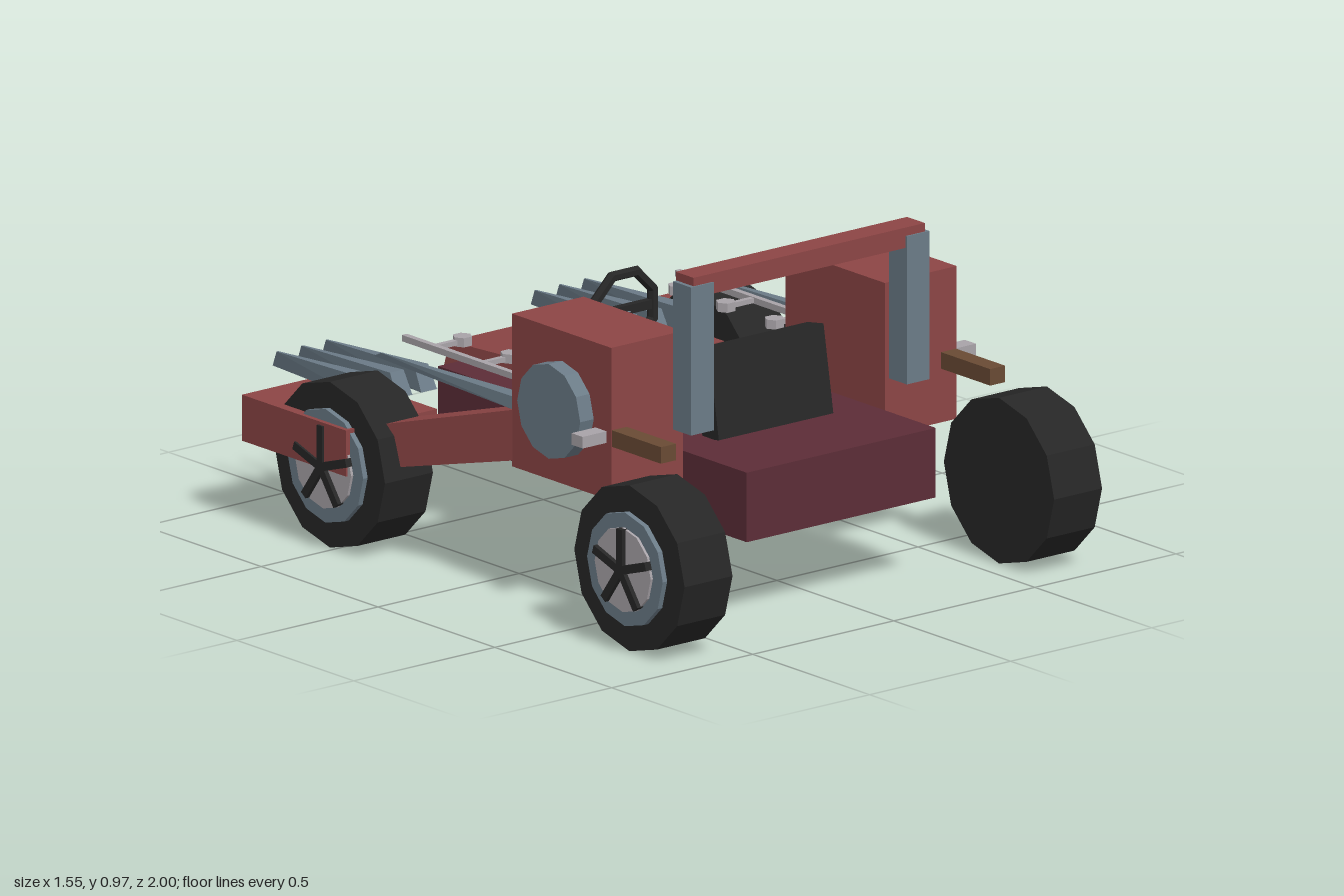
import * as THREE from 'three';
import { ConvexGeometry } from 'three/addons/geometries/ConvexGeometry.js';

const mat = (name, color) => {
  const m = new THREE.MeshStandardMaterial({ color, flatShading: true });
  m.name = name;
  return m;
};

export function createModel() {
  const red = mat('faded red', 0x8c4545);
  const maroon = mat('dark maroon', 0x5c2d37);
  const steel = mat('blue steel', 0x6b7b87);
  const silver = mat('pale metal', 0xa8a3a8);
  const black = mat('rubber black', 0x262626);
  const brown = mat('brown', 0x694a34);

  const model = new THREE.Group();
  model.name = 'buggy';

  const add = (name, geo, m, parent = model) => {
    const mesh = new THREE.Mesh(geo, m);
    mesh.name = name;
    parent.add(mesh);
    return mesh;
  };
  // Box from its low and high limits on each axis
  const box = (name, m, [x0, x1], [y0, y1], [z0, z1], parent = model) => {
    const mesh = add(name, new THREE.BoxGeometry(Math.abs(x1 - x0), y1 - y0, z1 - z0), m, parent);
    mesh.position.set((x0 + x1) / 2, (y0 + y1) / 2, (z0 + z1) / 2);
    return mesh;
  };
  // Convex solid from corner points, mirrored by s
  const solid = (name, m, points, s = 1) =>
    add(name, new ConvexGeometry(points.map(([x, y, z]) => new THREE.Vector3(x * s, y, z))), m);
  // Cylinder lying along x
  const disc = (name, m, r, x0, x1, y, z, sides, parent = model) => {
    const geo = new THREE.CylinderGeometry(r, r, Math.abs(x1 - x0), sides).rotateZ(Math.PI / 2);
    const mesh = add(name, geo, m, parent);
    mesh.position.set((x0 + x1) / 2, y, z);
    return mesh;
  };

  // Body
  box('chassis', maroon, [-0.335, 0.335], [0.24, 0.438], [-0.545, 0.775]);
  const hood = [];
  for (const s of [-1, 1]) {
    hood.push([s * 0.265, 0.3, -0.2], [s * 0.245, 0.5, -0.215],
      [s * 0.2, 0.3, -0.71], [s * 0.175, 0.445, -0.69]);
  }
  solid('hood', red, hood);

  // Seat with a backrest that leans slightly forward
  box('seatCushion', black, [-0.205, 0.205], [0.435, 0.5], [0.03, 0.4]);
  const back = new THREE.Group();
  back.name = 'seatBack';
  back.position.set(0, 0.435, 0.462);
  back.rotation.x = -0.17;
  box('backrest', black, [-0.203, 0.203], [0, 0.25], [-0.035, 0.035], back);
  box('backrestPanel', maroon, [-0.16, 0.16], [0.05, 0.21], [-0.044, -0.035], back);
  model.add(back);

  // Steering
  const ring = add('steeringWheel', new THREE.TorusGeometry(0.11, 0.016, 6, 8).rotateZ(Math.PI / 8), black);
  ring.position.set(0, 0.625, -0.155);
  box('steeringSpoke', black, [-0.11, 0.11], [0.612, 0.638], [-0.165, -0.145]);
  const column = add('steeringColumn', new THREE.BoxGeometry(0.028, 0.17, 0.028), steel);
  column.position.set(0, 0.56, -0.205);
  column.rotation.x = Math.atan2(0.1, 0.13);

  // Roll bar
  box('rollBarTop', red, [-0.41, 0.41], [0.918, 0.976], [0.562, 0.638]);

  for (const s of [-1, 1]) {
    const sx = (a, b) => [s * a, s * b];
    box('rollBarPost', steel, sx(0.342, 0.423), [0.53, 0.952], [0.566, 0.643]);

    // Side pod with round cap, bracket and peg
    box('sidePod', red, sx(0.358, 0.612), [0.355, 0.79], [0.105, 0.53]);
    disc('podCap', steel, 0.135, s * 0.6, s * 0.66, 0.57, 0.32, 12);
    box('bracket', brown, sx(0.557, 0.61), [0.508, 0.555], [0.52, 0.74]);
    box('peg', silver, sx(0.6, 0.697), [0.515, 0.548], [0.462, 0.51]);

    // Rear arm and fender
    solid('rearArm', red, [
      [0.5, 0.375, 0.12], [0.61, 0.375, 0.12], [0.5, 0.52, 0.12], [0.61, 0.52, 0.12],
      [0.58, 0.24, -0.43], [0.7, 0.24, -0.43], [0.58, 0.362, -0.43], [0.7, 0.362, -0.43],
    ], s);
    box('rearFender', red, sx(0.447, 0.77), [0.236, 0.367], [-0.86, -0.415]);

    // Spikes pointing backwards
    for (const x of [0.37, 0.457, 0.545]) {
      solid('spike', steel, [
        [x - 0.028, 0.375, -0.542], [x + 0.028, 0.375, -0.542],
        [x - 0.024, 0.44, -0.575], [x + 0.024, 0.44, -0.575],
        [x - 0.003, 0.42, -0.98], [x + 0.003, 0.42, -0.98], [x, 0.375, -1],
      ], s);
    }
    solid('longBlade', steel, [
      [0.55, 0.515, 0.11], [0.607, 0.515, 0.11], [0.555, 0.55, 0.11], [0.602, 0.55, 0.11],
      [0.57, 0.532, -0.5], [0.575, 0.532, -0.5], [0.572, 0.515, -0.535],
    ], s);

    // Side rail with bolted rungs
    box('rail', silver, sx(0.475, 0.493), [0.547, 0.565], [-0.51, 0.11]);
    for (const z of [-0.385, -0.18, 0.028]) {
      box('rung', silver, sx(0.38, 0.48), [0.549, 0.563], [z - 0.008, z + 0.008]);
      const knob = add('rungKnob', new THREE.CylinderGeometry(0.028, 0.028, 0.026, 6).rotateY(Math.PI / 6), silver);
      knob.position.set(s * 0.382, 0.558, z);
      knob.rotation.y = Math.PI / 3;
    }

    // Wheels with stepped hubs and five spokes
    for (const z of [0.762, -0.52]) {
      const wheel = new THREE.Group();
      wheel.name = z > 0 ? 'frontWheel' : 'rearWheel';
      wheel.position.set(0, 0.24, z);
      disc('tyre', black, 0.236, s * 0.57, s * 0.74, 0, 0, 12, wheel);
      disc('rim', steel, 0.162, s * 0.7, s * 0.756, 0, 0, 12, wheel);
      disc('hubPlate', silver, 0.12, s * 0.7, s * 0.764, 0, 0, 12, wheel);
      for (let i = 0; i < 5; i++) {
        const geo = new THREE.BoxGeometry(0.03, 0.118, 0.024).translate(s * 0.762, 0.059, 0);
        add('spoke', geo, black, wheel).rotation.x = (i * Math.PI * 2) / 5;
      }
      model.add(wheel);
    }
  }
  return model;
}
